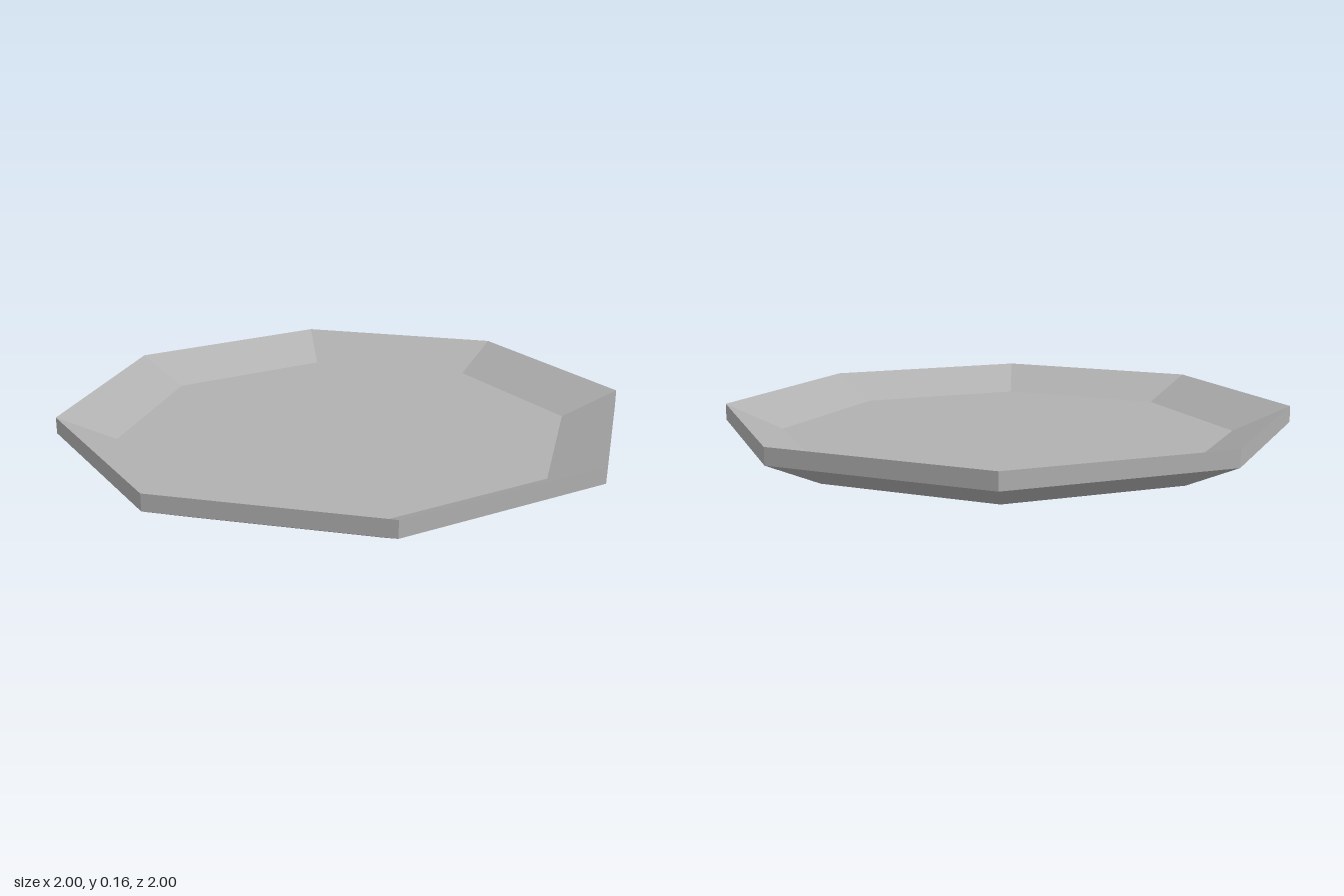
import * as THREE from 'three';

export function createModel() {
  const model = new THREE.Group();
  const grey = new THREE.MeshStandardMaterial({ color: 0xb0b0b0 });
  grey.name = 'plain grey';

  // Cross-section as [half width across flats, height], from underside over the rim to the floor
  const section = [[0, 0], [0.8, 0], [1, 0.098], [1, 0.16], [0.8, 0.063], [0, 0.063]];
  const toCorner = 1 / Math.cos(Math.PI / 8);
  const profile = section.map(([r, y]) => new THREE.Vector2(r * toCorner, y));

  // Eight-sided dish with flat facets
  const lathe = new THREE.LatheGeometry(profile, 8, Math.PI / 8);
  const geometry = lathe.toNonIndexed();
  geometry.computeVertexNormals();

  const dish = new THREE.Mesh(geometry, grey);
  dish.name = 'octagonalDish';
  model.add(dish);
  return model;
}
